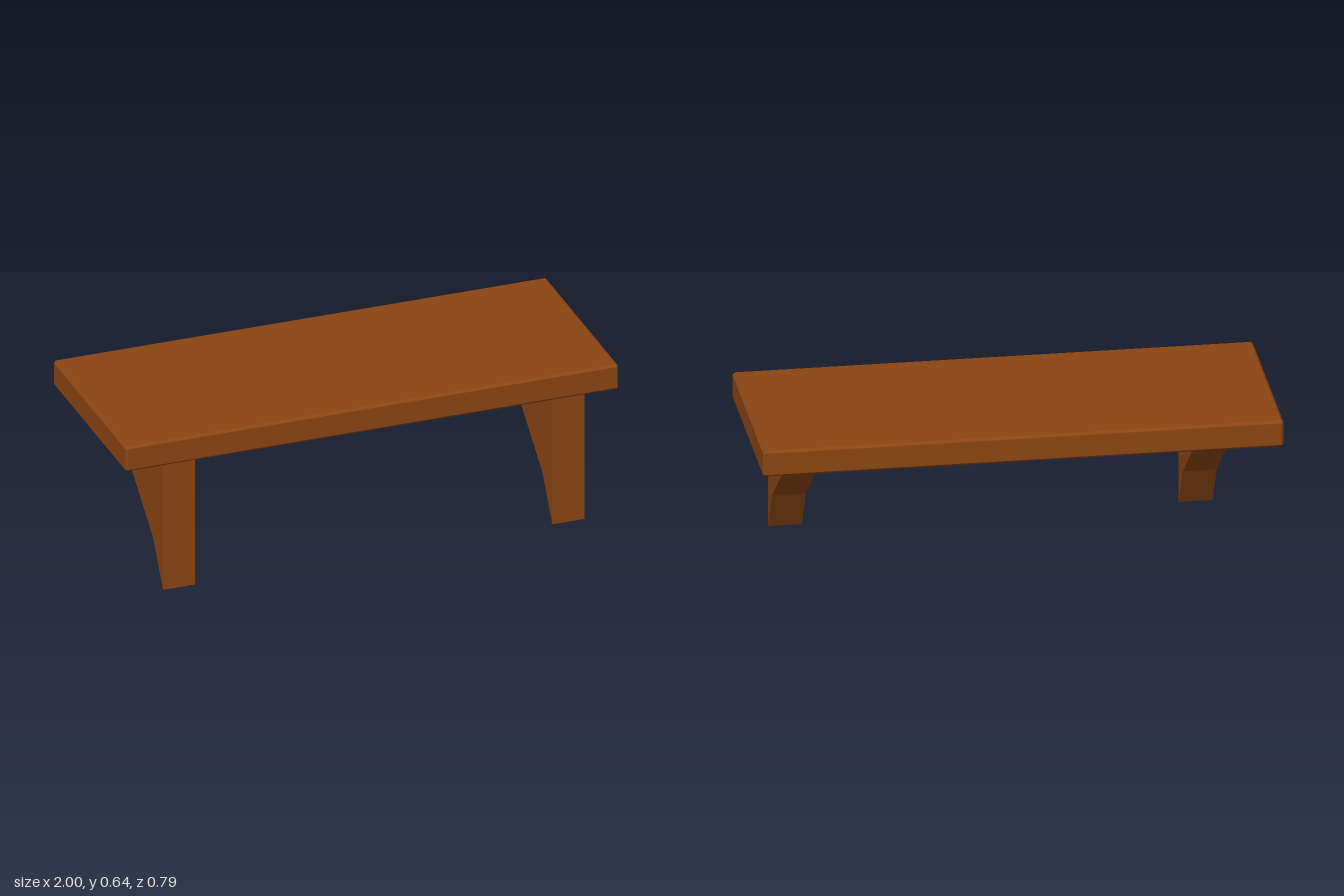
import * as THREE from 'three';
import { ConvexGeometry } from 'three/addons/geometries/ConvexGeometry.js';

// Box with every edge chamfered by c
function chamferedBox(w, h, d, c) {
  const points = [];
  for (const sx of [-1, 1]) for (const sy of [-1, 1]) for (const sz of [-1, 1]) {
    const corner = new THREE.Vector3(sx * w / 2, sy * h / 2, sz * d / 2);
    const inner = new THREE.Vector3(sx * (w / 2 - c), sy * (h / 2 - c), sz * (d / 2 - c));
    for (const axis of ['x', 'y', 'z']) {
      const p = inner.clone();
      p[axis] = corner[axis];
      points.push(p);
    }
  }
  return new ConvexGeometry(points);
}

export function createModel() {
  const group = new THREE.Group();
  group.name = 'wallShelf';
  const wood = new THREE.MeshStandardMaterial({ color: 0x8b4513, flatShading: true });

  // Shelf board
  const board = new THREE.Mesh(chamferedBox(2, 0.106, 0.79, 0.009), wood);
  board.name = 'shelfBoard';
  board.position.y = 0.587;
  group.add(board);

  // Curved bracket profile, drawn as (-z, y) and extruded across the width
  const profile = [
    [-0.38, 0], [-0.272, 0.172], [-0.05, 0.343], [0.205, 0.467],
    [0.311, 0.509], [0.311, 0.53], [-0.38, 0.53],
  ].map(([x, y]) => new THREE.Vector2(x, y));
  const width = 0.13;
  const bracketGeometry = new THREE.ExtrudeGeometry(new THREE.Shape(profile), {
    depth: width, bevelEnabled: false,
  });
  bracketGeometry.translate(0, 0, -width / 2);
  bracketGeometry.rotateY(Math.PI / 2);

  for (const [name, x] of [['rightBracket', -0.778], ['leftBracket', 0.8]]) {
    const bracket = new THREE.Mesh(bracketGeometry, wood);
    bracket.name = name;
    bracket.position.x = x;
    group.add(bracket);
  }
  return group;
}
